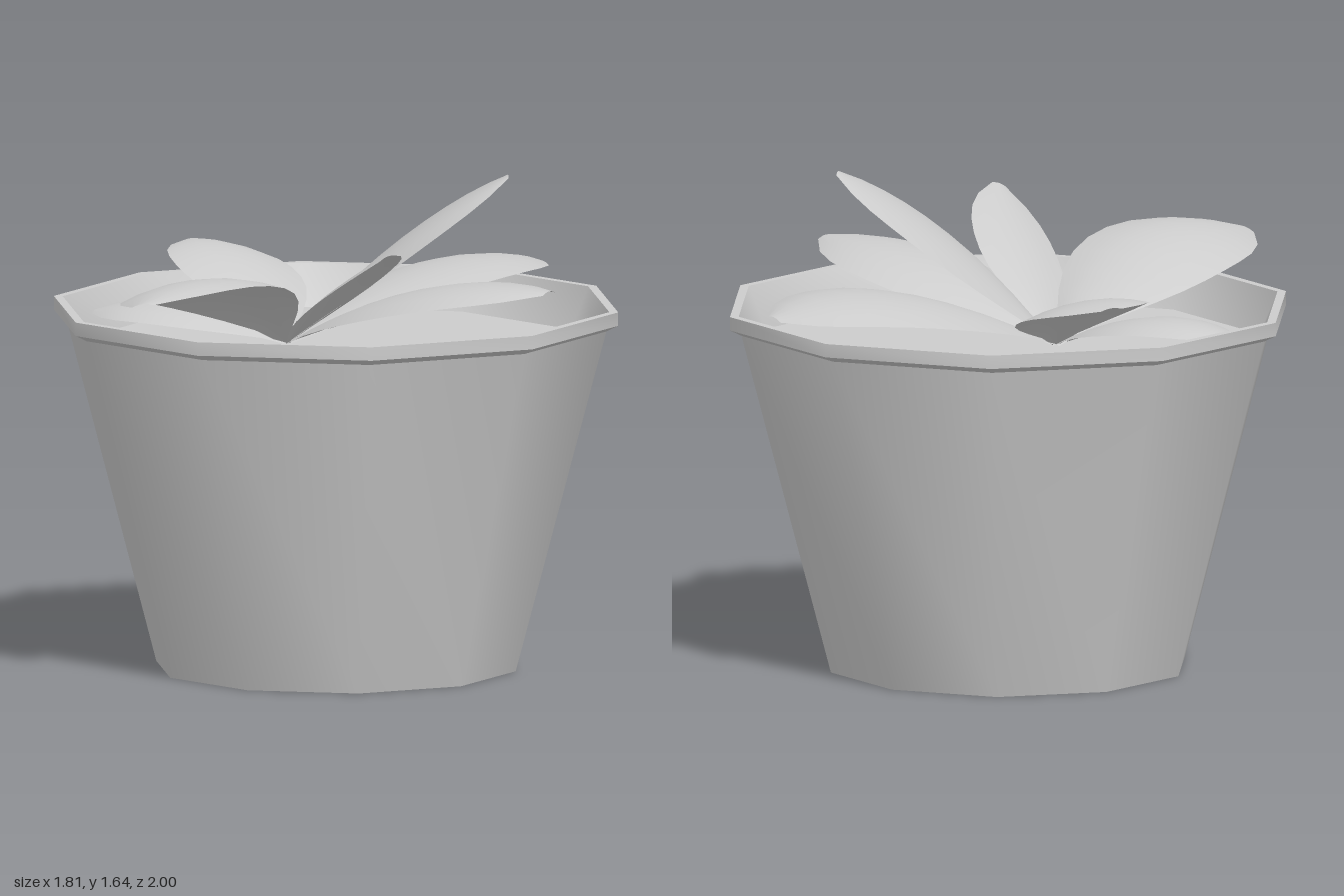
import * as THREE from 'three';
import { toCreasedNormals } from 'three/addons/utils/BufferGeometryUtils.js';

const SIDES = 10;
const POT_Z = -0.05;
const SOIL_Y = 1.07;
const HUB = [-0.14, 1.08, 0.03];

// Relative half-width from stem to blunt tip
const WIDTHS = [0.05, 0.28, 0.56, 0.78, 0.93, 1, 1, 0.94, 0.81, 0.57, 0.16];
const ACROSS = 6;

// Leaf blade: passes through the hub, mid and tip; side is the half-width vector,
// bow is how far the edges droop below the midrib
function leafGeometry(mid, tip, side, bow) {
  const a = new THREE.Vector3(...HUB);
  const c = new THREE.Vector3(...tip);
  const control = new THREE.Vector3(...mid).multiplyScalar(2).addScaledVector(a, -0.5).addScaledVector(c, -0.5);
  const midrib = new THREE.QuadraticBezierCurve3(a, control, c);
  const half = new THREE.Vector3(...side);
  const positions = [];
  const index = [];
  const rows = WIDTHS.length - 1;

  WIDTHS.forEach((w, i) => {
    const centre = midrib.getPoint(i / rows);
    for (let j = 0; j <= ACROSS; j++) {
      const u = (j / ACROSS) * 2 - 1;
      const p = centre.clone().addScaledVector(half, u * w);
      p.y -= bow * u * u * w;
      positions.push(p.x, p.y, p.z);
      if (i < rows && j < ACROSS) {
        const k = i * (ACROSS + 1) + j;
        const n = k + ACROSS + 1;
        index.push(k, n, k + 1, k + 1, n, n + 1);
      }
    }
  });

  const g = new THREE.BufferGeometry();
  g.setAttribute('position', new THREE.Float32BufferAttribute(positions, 3));
  g.setIndex(index);
  g.computeVertexNormals();
  return g;
}

export function createModel() {
  const group = new THREE.Group();
  const material = new THREE.MeshStandardMaterial({ color: 0xcccccc });
  const thin = new THREE.MeshStandardMaterial({ color: 0xcccccc, side: THREE.DoubleSide });

  const add = (name, geometry, mat) => {
    const mesh = new THREE.Mesh(geometry, mat);
    mesh.name = name;
    group.add(mesh);
    return mesh;
  };

  // Ten-sided tapered pot with its rim and inner lip
  const profile = [
    [0, 0], [0.605, 0], [0.91, 1.145], [0.95, 1.165],
    [0.95, 1.21], [0.92, 1.21], [0.86, SOIL_Y],
  ].map(([r, y]) => new THREE.Vector2(r, y));
  const pot = toCreasedNormals(new THREE.LatheGeometry(profile, SIDES), 0.7);
  add('pot', pot, material).position.z = POT_Z;

  // Soil disc
  const soil = new THREE.CircleGeometry(0.86, SIDES, Math.PI / 2).rotateX(-Math.PI / 2);
  add('soil', soil, material).position.set(0, SOIL_Y, POT_Z);

  // Leaves fanning out from the hub: name, mid, tip, half-width vector, bow
  const leaves = [
    ['frontLeaf', [-0.14, 1.35, 0.5], [-0.15, 1.34, 1.0], [0.25, 0.045, 0], 0.05],
    ['leftFrontLeaf', [0.19, 1.32, 0.25], [0.5, 1.48, 0.51], [0.08, 0.05, -0.12], 0.03],
    ['leftLeaf', [0.37, 1.3, 0.04], [0.86, 1.33, 0.05], [0, 0, -0.26], 0.06],
    ['leftUpperLeaf', [0.2, 1.43, -0.15], [0.49, 1.64, -0.34], [-0.11, 0, -0.185], 0.04],
    ['backLeaf', [0.11, 1.29, -0.49], [0.27, 1.26, -0.94], [-0.255, -0.02, -0.1], 0.05],
    ['rightBackLeaf', [-0.45, 1.29, -0.23], [-0.73, 1.33, -0.4], [-0.12, 0.02, 0.18], 0.04],
    ['rightLeaf', [-0.48, 1.2, 0.1], [-0.8, 1.16, 0.15], [0.035, -0.01, 0.2], 0.04],
  ];
  for (const [name, mid, tip, side, bow] of leaves) {
    add(name, leafGeometry(mid, tip, side, bow), thin);
  }

  return group;
}
